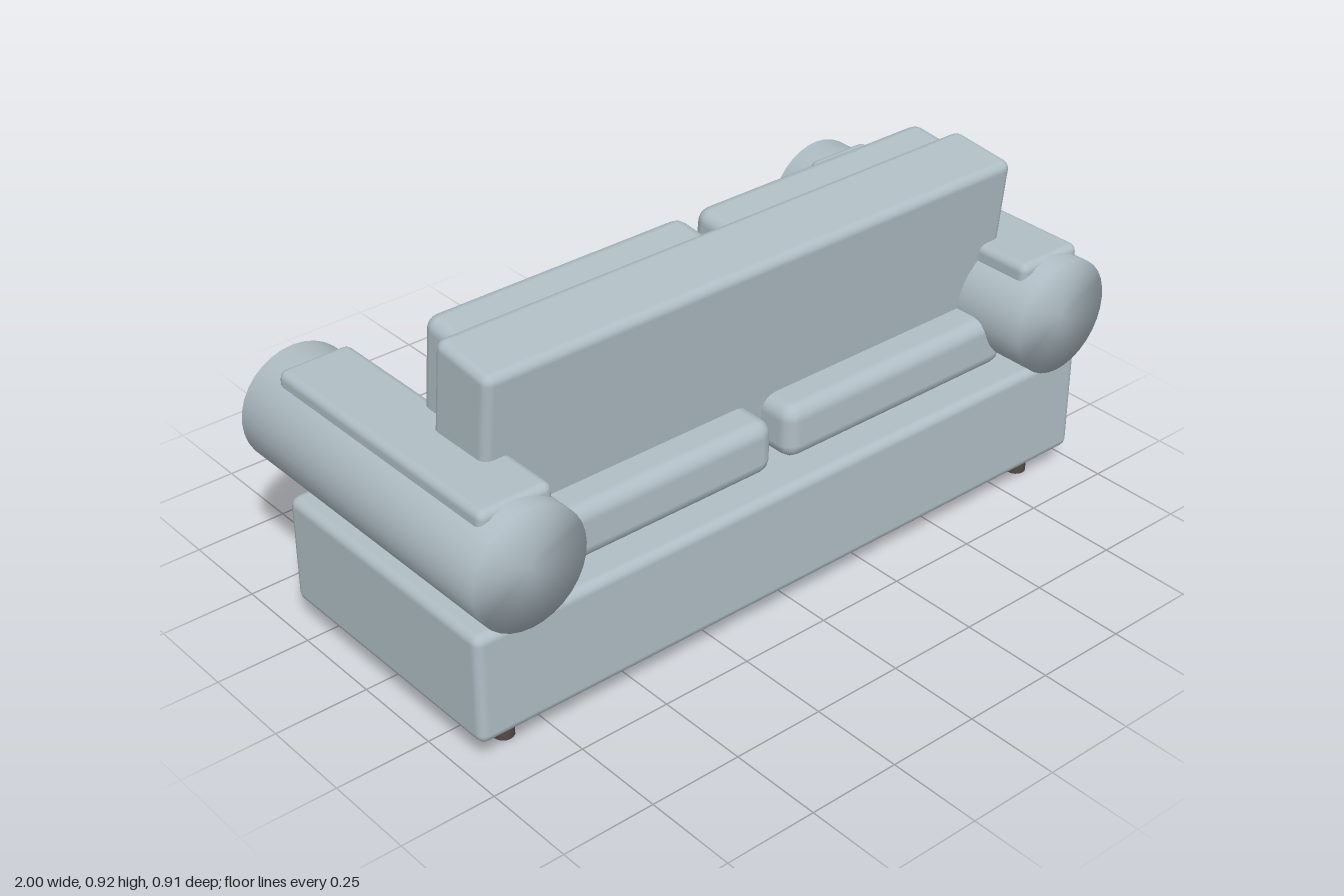
import * as THREE from 'three';
import { mergeVertices } from 'three/addons/utils/BufferGeometryUtils.js';
import { RoundedBoxGeometry } from 'three/addons/geometries/RoundedBoxGeometry.js';

// Cylinder whose side and caps share soft normals
function softCylinder(radius, length, sides) {
  const g = new THREE.CylinderGeometry(radius, radius, length, sides);
  g.deleteAttribute('normal');
  g.deleteAttribute('uv');
  const soft = mergeVertices(g, 1e-4);
  soft.computeVertexNormals();
  return soft;
}

export function createModel() {
  const fabric = new THREE.MeshStandardMaterial({ color: 0xb0bec5 });
  fabric.name = 'blue grey fabric';
  const wood = new THREE.MeshStandardMaterial({ color: 0x5a4f4a });
  wood.name = 'dark wood';

  const sofa = new THREE.Group();
  sofa.name = 'sofa';

  function add(name, geometry, material, x, y, z, tilt = 0) {
    const mesh = new THREE.Mesh(geometry, material);
    mesh.name = name;
    mesh.position.set(x, y, z);
    mesh.rotation.x = tilt;
    sofa.add(mesh);
    return mesh;
  }
  const pad = (w, h, d, r) => new RoundedBoxGeometry(w, h, d, 2, r);
  const lean = 0.108;

  // Base and leaning backrest
  add('base', pad(1.935, 0.298, 0.752, 0.025), fabric, 0, 0.213, 0.04);
  add('backrest', pad(1.63, 0.52, 0.197, 0.025), fabric, 0, 0.655, 0.16, lean);

  for (const [side, s] of [['left', 1], ['right', -1]]) {
    // Cushions
    add(side + 'SeatCushion', pad(0.75, 0.148, 0.51, 0.04), fabric, s * 0.397, 0.436, 0.085);
    add(side + 'BackCushion', pad(0.75, 0.465, 0.15, 0.035), fabric, s * 0.397, 0.686, 0.036, lean);

    // Bolster arm with a flat pad on top
    add(side + 'Arm', softCylinder(0.156, 0.912, 32), fabric, s * 0.844, 0.52, 0, Math.PI / 2);
    add(side + 'ArmPad', pad(0.2, 0.075, 0.792, 0.022), fabric, s * 0.84, 0.643, 0.019);

    // Legs
    for (const [end, z] of [['front', 0.338], ['back', -0.338]]) {
      add(end + side[0].toUpperCase() + side.slice(1) + 'Leg',
        softCylinder(0.027, 0.09, 16), wood, s * 0.852, 0.045, z);
    }
  }
  return sofa;
}
